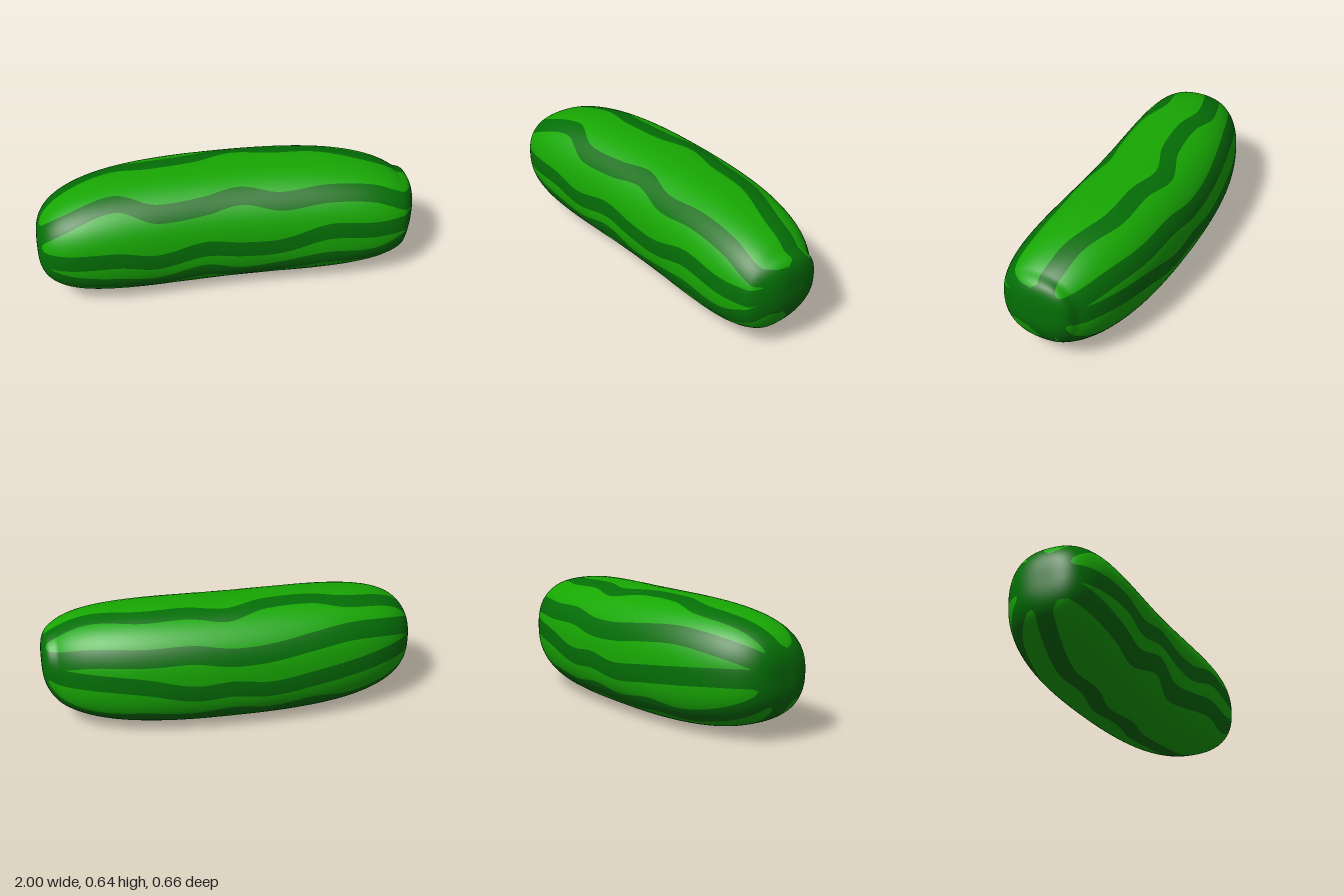
import * as THREE from 'three';

// Stripe centre angles in degrees (0 = top, 90 = front) at each knot along x
const KNOTS = [-1, -0.9, -0.6, -0.4, -0.15, 0.05, 0.25, 0.5, 0.75, 0.92, 1];
const STRIPES = [
  [-180, -180, -177, -183, -176, -181, -175, -175, -171, -170, -170],
  [-132, -132, -134, -128, -133, -128, -133, -131, -136, -135, -132],
  [-88, -88, -93, -97, -102, -98, -100, -91, -87, -86, -86],
  [-57, -57, -56, -60, -66, -67, -62, -63, -61, -63, -63],
  [-20, -20, -23, -14, -15, -26, -20, -21, -13, -16, -16],
  [40, 40, 31, 47, 46, 40, 48, 43, 43, 50, 50],
  [88, 88, 88, 95, 87, 92, 92, 80, 83, 82, 82],
  [117, 117, 120, 124, 114, 124, 120, 113, 118, 111, 111],
];
const DARK_COLS = 4, LIGHT_COLS = 7, ROWS = 180;
const SQUARE = 2.4; // exponent of the softly squared cross-section

// Body profile: blunt rounded ends, a gently bent centre line, off-centre right tip
const radius = x => 0.32 * Math.pow(Math.max(0, 1 - Math.pow(Math.abs(x), 3.5)), 0.32);
const tip = x => THREE.MathUtils.smoothstep(x, 0.91, 1);
const centreY = x => 0.32 + 0.035 * tip(x);
const centreZ = x => -0.015 + 0.008 * x + 0.1 * x * x - 0.045 * tip(x);

const curves = STRIPES.map(s => new THREE.SplineCurve(s.map((a, i) => new THREE.Vector2(KNOTS[i], a))));

function stripeCentre(curve, x) {
  let i = 0;
  while (i < KNOTS.length - 2 && x > KNOTS[i + 1]) i++;
  const f = (x - KNOTS[i]) / (KNOTS[i + 1] - KNOTS[i]);
  return curve.getPoint((i + f) / (KNOTS.length - 1)).y;
}

// Angles around one ring: columns follow the stripe edges
function ringAngles(x) {
  const c = curves.map(k => stripeCentre(k, x));
  const n = c.length, r = radius(x);
  // Stripes widen and merge close to the tips
  const spread = 1 - THREE.MathUtils.smoothstep(r, 0.09, 0.165);
  const half = THREE.MathUtils.radToDeg(0.046 / Math.max(r, 0.05)) + spread * 36;
  const angles = [];
  for (let i = 0; i < n; i++) {
    const prev = i ? c[i - 1] : c[n - 1] - 360;
    const next = i < n - 1 ? c[i + 1] : c[0] + 360;
    const lo = Math.max(c[i] - half, (prev + c[i]) / 2);
    const hi = Math.min(c[i] + half, (c[i] + next) / 2);
    const nextLo = Math.max(next - half, (c[i] + next) / 2);
    for (let k = 0; k < DARK_COLS; k++) angles.push(lo + (hi - lo) * k / DARK_COLS);
    for (let k = 0; k < LIGHT_COLS; k++) angles.push(hi + (nextLo - hi) * k / LIGHT_COLS);
  }
  return angles.map(THREE.MathUtils.degToRad);
}

function bodyGeometry() {
  const pos = [], nor = [], dark = [], light = [];
  const cols = STRIPES.length * (DARK_COLS + LIGHT_COLS);
  const v = new THREE.Vector3();
  for (let i = 0; i <= ROWS; i++) {
    // Rings crowd towards the ends to keep them round
    const s = 2 * i / ROWS - 1;
    const x = Math.sign(s) * (1 - Math.pow(1 - Math.abs(s), 2.6));
    const e = Math.min(1e-4, (1 - Math.abs(x)) / 2);
    const slope = f => (f(x + e) - f(x - e)) / (2 * e);
    const r = radius(x);
    const dr = e > 0 ? slope(radius) : -Math.sign(x) * 1e6;
    const dy = e > 0 ? slope(centreY) : 0, dz = e > 0 ? slope(centreZ) : 0;
    for (const a of ringAngles(x)) {
      const c = Math.cos(a), n = Math.sin(a);
      const rho = Math.pow(Math.abs(c) ** SQUARE + Math.abs(n) ** SQUARE, -1 / SQUARE);
      pos.push(x, centreY(x) + r * rho * c, centreZ(x) + r * rho * n);
      const ny = Math.sign(c) * Math.abs(c) ** (SQUARE - 1);
      const nz = Math.sign(n) * Math.abs(n) ** (SQUARE - 1);
      v.set(-(ny * (dy + dr * rho * c) + nz * (dz + dr * rho * n)), ny, nz).normalize();
      nor.push(v.x, v.y, v.z);
    }
  }
  for (let i = 0; i < ROWS; i++) {
    for (let j = 0; j < cols; j++) {
      const k = (j + 1) % cols;
      const a = i * cols + j, b = i * cols + k, c = a + cols, d = b + cols;
      const list = j % (DARK_COLS + LIGHT_COLS) < DARK_COLS ? dark : light;
      list.push(a, b, c, b, d, c);
    }
  }
  const g = new THREE.BufferGeometry();
  g.setAttribute('position', new THREE.Float32BufferAttribute(pos, 3));
  g.setAttribute('normal', new THREE.Float32BufferAttribute(nor, 3));
  g.setIndex([...light, ...dark]);
  g.addGroup(0, light.length, 0);
  g.addGroup(light.length, dark.length, 1);
  return g;
}

export function createModel() {
  const lightGreen = new THREE.MeshStandardMaterial({ color: 0x18a803 });
  lightGreen.name = 'lightGreenRind';
  const darkGreen = new THREE.MeshStandardMaterial({ color: 0x046f06 });
  darkGreen.name = 'darkGreenStripe';

  const model = new THREE.Group();
  model.name = 'stripedMelon';
  const rind = new THREE.Mesh(bodyGeometry(), [lightGreen, darkGreen]);
  rind.name = 'rind';
  model.add(rind);
  return model;
}
